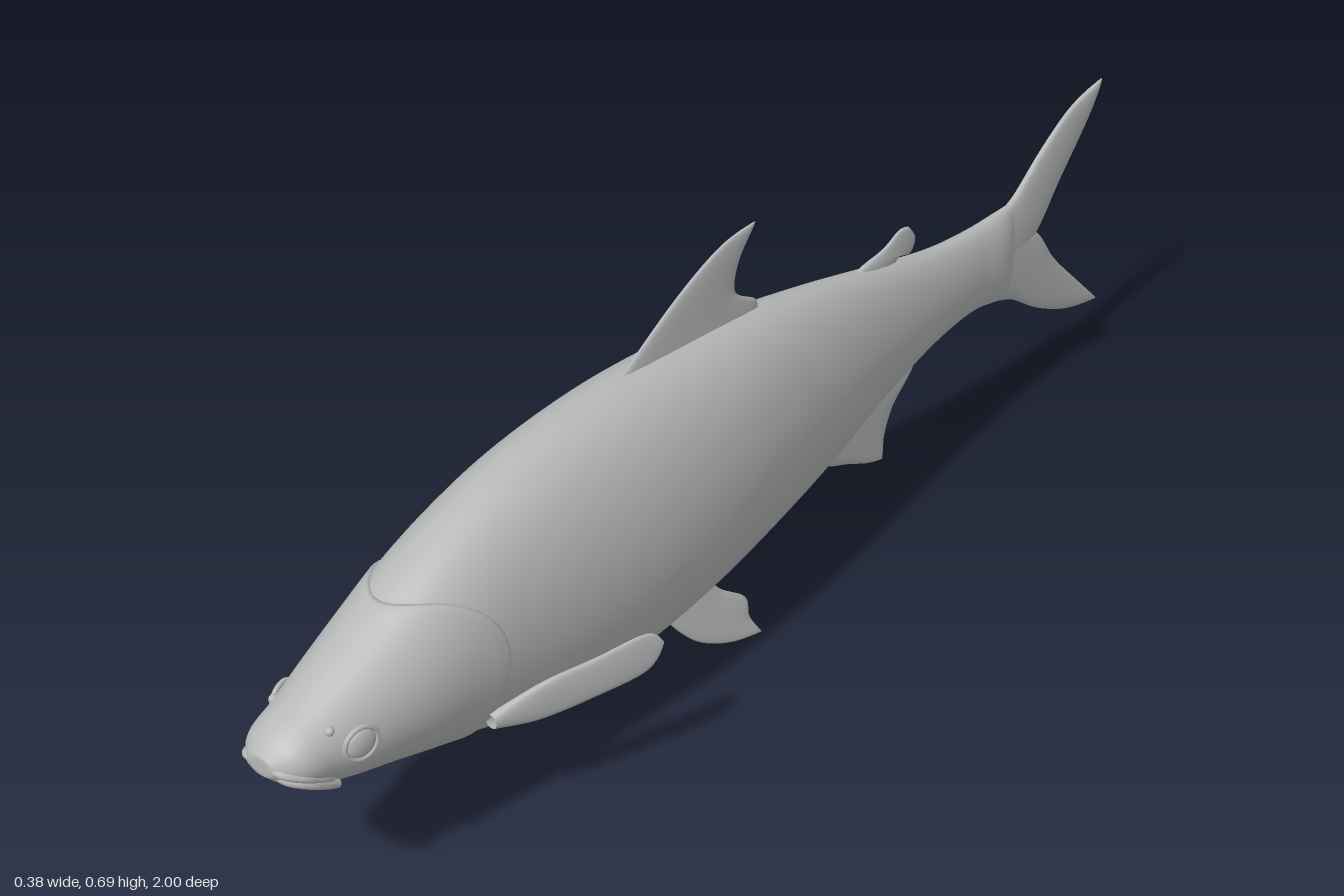
import * as THREE from 'three';

const grey = new THREE.MeshStandardMaterial({ color: 0xb6b8b7, side: THREE.DoubleSide });
grey.name = 'plain grey';

// Body profile: distance behind the snout, top y, bottom y, half width
const profile = [
  [0, 0.328, 0.298, 0.024], [0.02, 0.347, 0.277, 0.049], [0.08, 0.377, 0.243, 0.068],
  [0.215, 0.44, 0.203, 0.095], [0.32, 0.494, 0.17, 0.106], [0.43, 0.534, 0.133, 0.115],
  [0.54, 0.556, 0.111, 0.123], [0.7, 0.567, 0.1, 0.128], [0.86, 0.561, 0.113, 0.12],
  [1.02, 0.545, 0.138, 0.101], [1.18, 0.514, 0.172, 0.077], [1.34, 0.475, 0.222, 0.053],
  [1.5, 0.438, 0.26, 0.036], [1.61, 0.427, 0.267, 0.029], [1.69, 0.427, 0.25, 0.024],
  [1.72, 0.43, 0.243, 0.008],
];
const spline = new THREE.CubicInterpolant(
  profile.map((p) => p[0]), profile.flatMap((p) => p.slice(1)), 3, new Float32Array(3));

// Point on the body skin at distance u behind the snout and angle a around it
function skin(u, a, scale = 1) {
  const [top, bottom, w] = spline.evaluate(u);
  return new THREE.Vector3(
    Math.cos(a) * w * scale,
    (top + bottom) / 2 + (Math.sin(a) * (top - bottom) * scale) / 2,
    1 - u);
}

// Joins closed rings of points into one smooth surface
function loft(rings) {
  const n = rings[0].length;
  const index = [];
  for (let i = 0; i < rings.length - 1; i++) {
    for (let k = 0; k < n; k++) {
      const a = i * n + k, b = i * n + ((k + 1) % n);
      index.push(a, a + n, b, b, a + n, b + n);
    }
  }
  const geometry = new THREE.BufferGeometry().setFromPoints(rings.flat());
  geometry.setIndex(index);
  geometry.computeVertexNormals();
  return geometry;
}

const ring = (fn, n = 56) => Array.from({ length: n }, (_, k) => fn((k / n) * Math.PI * 2));

function bodyGeometry() {
  const rings = [ring((a) => skin(0.2, a, 0.01))];
  for (let i = 0; i <= 70; i++) rings.push(ring((a) => skin(0.2 + (1.5 * i) / 70, a)));
  rings.push(ring((a) => skin(1.713, a)), ring((a) => skin(1.72, a)), ring((a) => skin(1.72, a, 0.01)));
  return loft(rings);
}

// Head shell ending in a curved, slightly raised gill cover edge
function headGeometry() {
  const edge = (a) => {
    const s = Math.sin(a);
    return 0.365 - (s > 0 ? 0.135 : 0.055) * s * s;
  };
  const rings = [ring((a) => skin(0, a, 0.01)), ring((a) => skin(0, a, 0.6))];
  const steps = 30;
  for (let i = 0; i <= steps; i++) {
    const t = Math.pow(i / steps, 1.4);
    rings.push(ring((a) => skin(edge(a) * t, a, 1 + 0.035 * THREE.MathUtils.smoothstep(t, 0, 1))));
  }
  rings.push(ring((a) => skin(edge(a) + 0.006, a, 1.02)), ring((a) => skin(edge(a) + 0.008, a, 0.96)));
  return loft(rings);
}

// Lens-section fin between two [z, y] edges that run from root to shared tip.
// The +x face runs from edge A to edge B; lean gives the sideways offset.
function finGeometry(edgeA, edgeB, thick, lean = () => 0) {
  const curve = (pts) => new THREE.SplineCurve(pts.map(([z, y]) => new THREE.Vector2(z, y)));
  const A = curve(edgeA), B = curve(edgeB);
  const rows = 24, cols = 14, rings = [];
  for (let i = 0; i <= rows; i++) {
    const t = i / rows, a = A.getPoint(t), b = B.getPoint(t);
    const half = thick * (1 - 0.65 * t) * Math.min(1, Math.sqrt((1 - t) * 8));
    rings.push(ring((angle) => {
      const p = a.clone().lerp(b, (1 - Math.cos(angle)) / 2);
      const bulge = Math.sin(angle);
      const x = half * Math.sign(bulge) * Math.pow(Math.abs(bulge), 0.7);
      return new THREE.Vector3(x + lean(p.x, p.y), p.y, p.x);
    }, cols * 2));
  }
  return loft(rings);
}

export function createModel() {
  const model = new THREE.Group();
  model.name = 'fish';
  const add = (name, geometry, parent = model) => {
    const mesh = new THREE.Mesh(geometry, grey);
    mesh.name = name;
    parent.add(mesh);
    return mesh;
  };

  add('body', bodyGeometry());
  add('head', headGeometry());

  // Lips follow the arched mouth line
  const mouth = [[0.08, -0.68], [0.055, -0.5], [0.03, -0.3], [0.008, -0.1]];
  const lip = (drop, back, radius) => {
    const side = mouth.map(([u, a]) => skin(u, a, 0.97).add(new THREE.Vector3(0, -drop, -back)));
    const other = side.map((p) => new THREE.Vector3(-p.x, p.y, p.z)).reverse();
    const middle = new THREE.Vector3(0, 0.314 - drop, 0.994 - back);
    return new THREE.TubeGeometry(new THREE.CatmullRomCurve3([...side, middle, ...other]), 48, radius, 10);
  };
  add('upperLip', lip(0, 0, 0.006));
  add('lowerLip', lip(0.015, 0.008, 0.007));

  // Unpaired fins
  add('dorsalFin', finGeometry(
    [[-0.045, 0.535], [-0.04, 0.556], [0.008, 0.59], [0.0, 0.64], [-0.04, 0.69]],
    [[0.3, 0.545], [0.25, 0.575], [0.14, 0.64], [0.04, 0.682], [-0.04, 0.69]], 0.01));
  add('adiposeFin', finGeometry(
    [[-0.38, 0.44], [-0.4, 0.467], [-0.43, 0.46], [-0.443, 0.482], [-0.425, 0.51]],
    [[-0.25, 0.47], [-0.3, 0.488], [-0.36, 0.497], [-0.4, 0.513], [-0.425, 0.51]], 0.009));
  add('analFin', finGeometry(
    [[-0.18, 0.19], [-0.22, 0.155], [-0.28, 0.128], [-0.33, 0.104], [-0.373, 0.09]],
    [[-0.38, 0.25], [-0.45, 0.24], [-0.4, 0.19], [-0.376, 0.14], [-0.373, 0.09]], 0.01));

  // Forked tail made of two overlapping lobes
  const tail = new THREE.Group();
  tail.name = 'tailFin';
  model.add(tail);
  add('upperTailLobe', finGeometry(
    [[-0.67, 0.26], [-0.785, 0.335], [-0.85, 0.41], [-0.93, 0.5], [-0.968, 0.56]],
    [[-0.67, 0.42], [-0.72, 0.435], [-0.795, 0.492], [-0.877, 0.54], [-0.968, 0.56]], 0.014), tail);
  add('lowerTailLobe', finGeometry(
    [[-0.67, 0.255], [-0.73, 0.232], [-0.81, 0.178], [-0.9, 0.135], [-1, 0.11]],
    [[-0.67, 0.41], [-0.785, 0.345], [-0.85, 0.262], [-0.93, 0.18], [-1, 0.11]], 0.014), tail);

  // Paired fins and face details
  const pectoral = finGeometry(
    [[0.66, 0.215], [0.59, 0.2], [0.5, 0.203], [0.42, 0.215], [0.393, 0.255]],
    [[0.66, 0.238], [0.58, 0.262], [0.5, 0.27], [0.42, 0.28], [0.393, 0.255]],
    0.01, (z) => 0.1 + (0.65 - z) * 0.34);
  const pelvic = finGeometry(
    [[0.235, 0.14], [0.2, 0.09], [0.16, 0.052], [0.1, 0.022], [0.03, 0.004]],
    [[0.12, 0.15], [0.1, 0.115], [0.05, 0.075], [0.05, 0.042], [0.03, 0.004]],
    0.009, (z, y) => 0.045 + (0.115 - y) * 0.25);
  for (const [name, sign] of [['left', 1], ['right', -1]]) {
    const half = new THREE.Group();
    half.name = name + 'SideParts';
    half.scale.x = sign;
    model.add(half);
    add(name + 'PectoralFin', pectoral, half);
    add(name + 'PelvicFin', pelvic, half);

    const eye = new THREE.Group();
    eye.name = name + 'Eye';
    eye.position.copy(skin(0.115, 0.1));
    eye.rotation.y = Math.PI / 2 - 0.2;
    half.add(eye);
    add('eyeball', new THREE.SphereGeometry(0.023, 24, 16), eye).scale.z = 0.35;
    add('eyeRim', new THREE.TorusGeometry(0.026, 0.004, 8, 32), eye);

    const nostril = add(name + 'Nostril', new THREE.SphereGeometry(0.007, 12, 8), half);
    nostril.position.copy(skin(0.08, 0.65));
  }
  return model;
}
